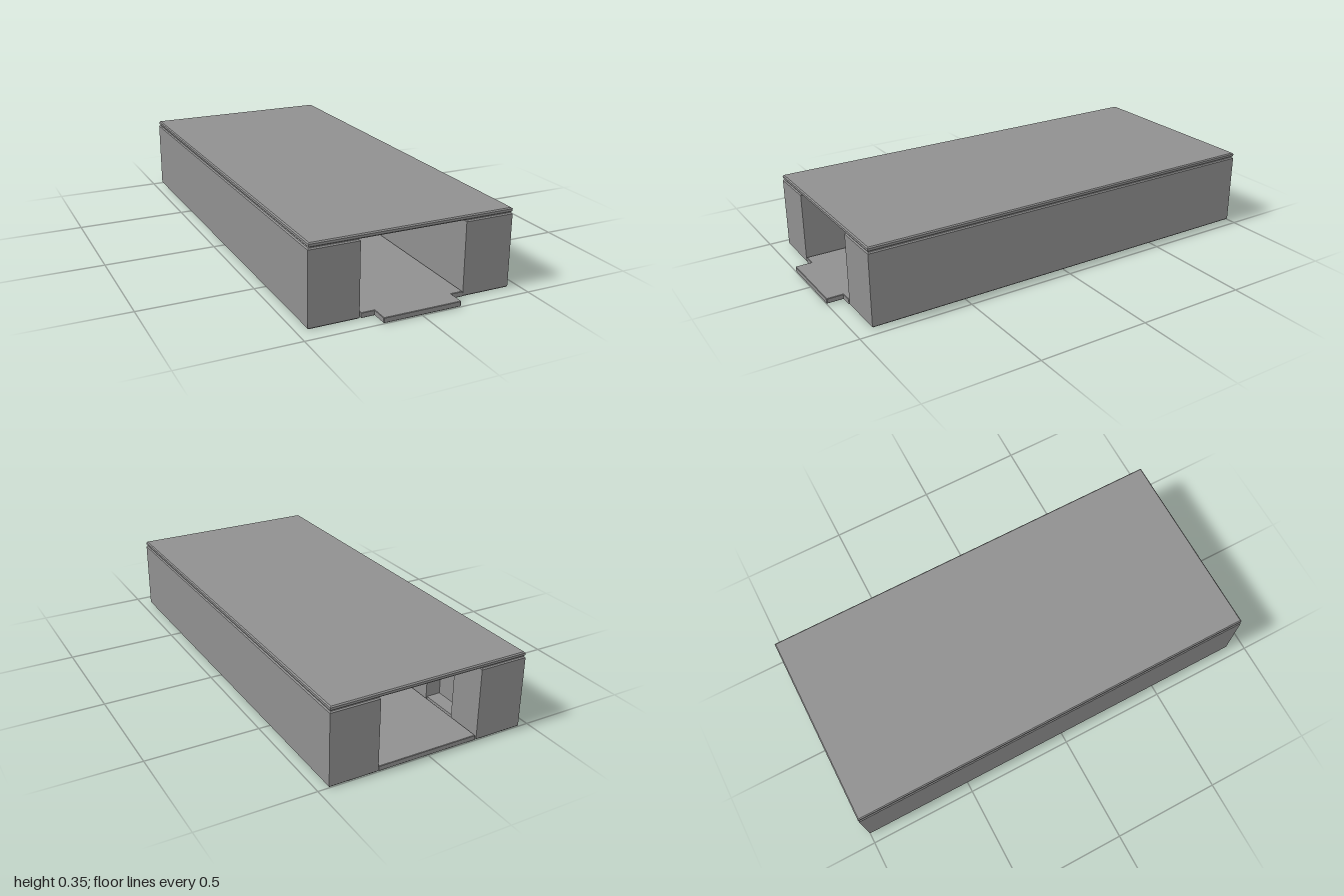
import * as THREE from 'three';

const BACK = -1, FRONT = 0.924;

// Slab with a plan outline of [x, z] points, from y0 to y1, edges chamfered
function slab(name, outline, y0, y1, bevel = 0.005) {
  const shape = new THREE.Shape(outline.map(([x, z]) => new THREE.Vector2(x, -z)));
  const geometry = new THREE.ExtrudeGeometry(shape, {
    depth: y1 - y0 - 2 * bevel,
    bevelEnabled: bevel > 0,
    bevelThickness: bevel,
    bevelSize: bevel,
    bevelOffset: -bevel,
    bevelSegments: 1,
  });
  geometry.rotateX(-Math.PI / 2);
  geometry.translate(0, y0 + bevel, 0);
  const mesh = new THREE.Mesh(geometry, new THREE.MeshStandardMaterial({ color: 0x909090 }));
  mesh.name = name;
  return mesh;
}

const rect = (x0, x1, z0, z1) => [[x0, z0], [x1, z0], [x1, z1], [x0, z1]];

export function createModel() {
  const group = new THREE.Group();
  group.name = 'openTunnelCase';

  // Top cover
  group.add(slab('lid', rect(-0.449, 0.451, BACK, FRONT), 0.329, 0.349));

  // Solid side block
  group.add(slab('leftBlock', rect(0.234, 0.452, BACK, FRONT), 0, 0.327));

  // Side block with a pocket in its inner wall near the back
  group.add(slab('rightBlock', [
    [-0.452, BACK], [-0.234, BACK],
    [-0.234, -0.83], [-0.305, -0.83], [-0.305, -0.65], [-0.234, -0.65],
    [-0.234, FRONT], [-0.452, FRONT],
  ], 0, 0.327));
  group.add(slab('pocketFloor', rect(-0.31, -0.239, -0.835, -0.645), 0, 0.025, 0));

  // Sliding floor with a pull tab at the front
  const edge = FRONT + 0.002;
  group.add(slab('floorTray', [
    [-0.228, BACK], [0.231, BACK], [0.231, edge], [0.177, edge],
    [0.177, 0.997], [0.174, 1], [-0.167, 1], [-0.17, 0.997],
    [-0.17, edge], [-0.228, edge],
  ], 0.002, 0.025, 0.002));

  return group;
}
